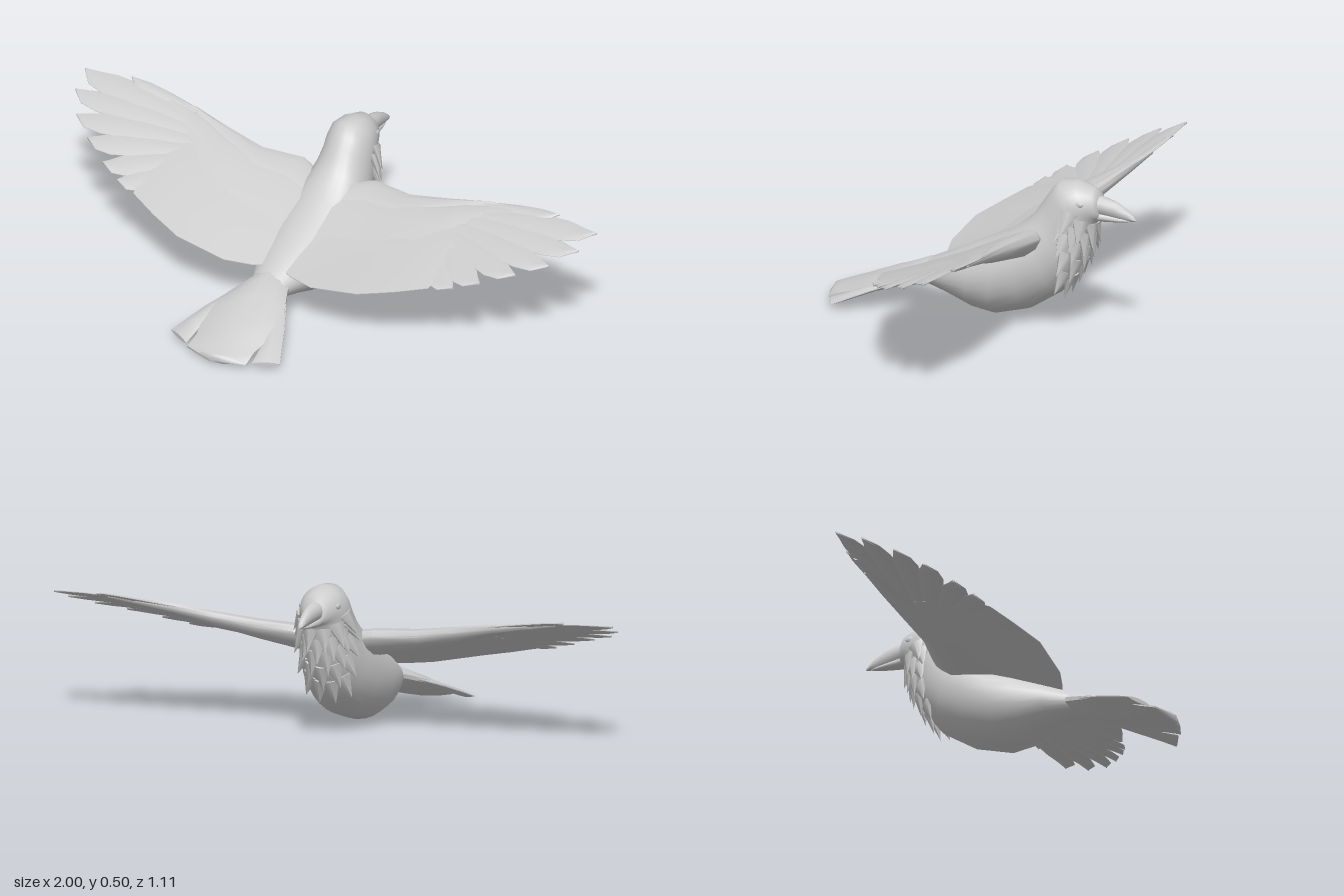
import * as THREE from 'three';
import { toCreasedNormals } from 'three/addons/utils/BufferGeometryUtils.js';

const plumage = new THREE.MeshStandardMaterial({ color: 0xcccccc, side: THREE.DoubleSide });
plumage.name = 'plainGrey';

const V = (x, y, z) => new THREE.Vector3(x, y, z);
const lerp = THREE.MathUtils.lerp;

// Piecewise-linear lookup in [[x, y], ...]
function along(table, x) {
  for (let i = 1; i < table.length; i++) {
    const [x0, y0] = table[i - 1], [x1, y1] = table[i];
    if (x <= x1 || i === table.length - 1) return lerp(y0, y1, Math.max(0, (x - x0) / (x1 - x0)));
  }
}

// Skin over closed rings of points, capped at both ends and wound outwards
function loft(name, rings, crease) {
  const n = rings[0].length, pts = rings.flat(), idx = [];
  for (let i = 0; i < rings.length - 1; i++)
    for (let j = 0; j < n; j++) {
      const a = i * n + j, b = i * n + (j + 1) % n;
      idx.push(a, b, a + n, b, b + n, a + n);
    }
  [0, rings.length - 1].forEach((r) => {
    const mid = rings[r].reduce((s, p) => s.add(p), V(0, 0, 0)).divideScalar(n);
    pts.push(mid);
    for (let j = 0; j < n; j++) {
      const a = r * n + j, b = r * n + (j + 1) % n;
      idx.push(pts.length - 1, r ? a : b, r ? b : a);
    }
  });
  let volume = 0;
  for (let i = 0; i < idx.length; i += 3)
    volume += pts[idx[i]].dot(V(0, 0, 0).crossVectors(pts[idx[i + 1]], pts[idx[i + 2]]));
  if (volume < 0) idx.reverse();
  let geo = new THREE.BufferGeometry().setFromPoints(pts);
  geo.setIndex(idx);
  if (crease) geo = toCreasedNormals(geo, crease);
  else geo.computeVertexNormals();
  const mesh = new THREE.Mesh(geo, plumage);
  mesh.name = name;
  return mesh;
}

// Thin feathered sheet; stations are [ax, az, bx, bz, thickness, lift]
const AIRFOIL = [[0, 0.1], [0.07, 0.65], [0.25, 1], [0.5, 0.8], [0.8, 0.4], [1, 0.08]];
const LENS = [[0, 0.15], [0.2, 0.7], [0.5, 1], [0.8, 0.7], [1, 0.15]];
function sheet(name, side, stations, height, profile) {
  const rings = stations.map(([ax, az, bx, bz, th, lift = 0]) => {
    const at = (s) => ([u, f]) => {
      const x = lerp(ax, bx, u), z = lerp(az, bz, u);
      return V(side * x, height(x, z) + lift + s * f * th, z);
    };
    return [...profile.map(at(1)), ...[...profile].reverse().map(at(-1))];
  });
  return loft(name, rings, 0.8);
}

// Single feather from base to tip, with its tip at the leading corner
function feather(name, side, base, tip, width, th, lift, height) {
  const dx = tip[0] - base[0], dz = tip[1] - base[1], len = Math.hypot(dx, dz);
  const nx = -dz / len, nz = dx / len;
  const spans = [[0, -0.35, 0.4], [0.45, -0.4, 0.6], [0.75, -0.3, 0.66], [0.9, -0.12, 0.5], [1, -0.03, 0.03]];
  return sheet(name, side, spans.map(([t, a, b]) => {
    const x = base[0] + dx * t, z = base[1] + dz * t;
    return [x + nx * a * width, z + nz * a * width, x + nx * b * width, z + nz * b * width, th * (1 - 0.5 * t), lift];
  }), height, LENS);
}

// Body profile: back point (z, y), belly point (z, y), half width
const BODY = [
  [0.27, 0.125, 0.27, 0.09, 0.04], [0.19, 0.175, 0.2, 0.08, 0.068], [0.1, 0.215, 0.12, 0.06, 0.105],
  [0, 0.265, 0.03, 0.026, 0.132], [-0.1, 0.31, -0.05, 0.013, 0.142], [-0.15, 0.35, -0.17, 0.045, 0.135],
  [-0.185, 0.38, -0.28, 0.115, 0.118], [-0.205, 0.41, -0.345, 0.2, 0.1], [-0.225, 0.44, -0.385, 0.29, 0.09],
  [-0.25, 0.475, -0.4, 0.35, 0.086], [-0.28, 0.505, -0.408, 0.375, 0.08], [-0.34, 0.508, -0.418, 0.382, 0.067],
  [-0.4, 0.489, -0.425, 0.386, 0.048], [-0.418, 0.465, -0.428, 0.39, 0.032],
];
function bodyPoint(r, angle) {
  const i = Math.min(Math.floor(r), BODY.length - 2);
  const [tz, ty, bz, by, w] = BODY[i].map((v, k) => lerp(v, BODY[i + 1][k], r - i));
  const c = Math.cos(angle);
  return V(w * Math.sin(angle), (ty + by) / 2 + c * (ty - by) / 2, (tz + bz) / 2 + c * (tz - bz) / 2);
}

function tube(name, rows) {
  return loft(name, rows.map(([z, top, bottom, w]) => Array.from({ length: 12 }, (_, j) => {
    const a = j / 12 * Math.PI * 2;
    return V(w * Math.sin(a), (top + bottom) / 2 + Math.cos(a) * (top - bottom) / 2, z);
  })), 0.9);
}

function buildBody() {
  const g = new THREE.Group();
  g.name = 'bodyAndHead';
  g.add(loft('body', BODY.map((_, i) =>
    Array.from({ length: 28 }, (_, j) => bodyPoint(i, j / 28 * Math.PI * 2)))));
  g.add(tube('upperBeak', [[-0.39, 0.466, 0.4, 0.036], [-0.43, 0.463, 0.398, 0.03], [-0.48, 0.45, 0.393, 0.021],
    [-0.52, 0.428, 0.39, 0.014], [-0.542, 0.41, 0.39, 0.009], [-0.555, 0.397, 0.392, 0.002]]));
  g.add(tube('lowerBeak', [[-0.39, 0.42, 0.378, 0.032], [-0.44, 0.41, 0.378, 0.025],
    [-0.5, 0.4, 0.383, 0.015], [-0.535, 0.395, 0.389, 0.004]]));
  for (const side of [-1, 1]) {
    const eye = new THREE.Mesh(new THREE.SphereGeometry(0.016, 12, 8), plumage);
    eye.name = 'eye';
    eye.scale.set(0.4, 0.7, 1.2);
    eye.position.set(side * 0.066, 0.444, -0.368);
    g.add(eye);
  }
  return g;
}

// Broad pointed throat feathers in staggered rows: [ring, count, spread]
function buildThroat() {
  const g = new THREE.Group();
  g.name = 'throatFeathers';
  const spike = new THREE.ConeGeometry(1, 1, 6).translate(0, 0.3, 0);
  const rows = [[9, 6, 1.4], [8.4, 7, 1.45], [7.8, 6, 1.2], [7.2, 5, 0.9], [6.6, 4, 0.6]];
  for (const [r, count, spread] of rows) {
    for (let k = 0; k < count; k++) {
      const a = Math.PI + lerp(-spread, spread, k / (count - 1));
      const p = bodyPoint(r, a);
      const down = bodyPoint(r - 0.5, a).sub(p).normalize();
      const across = bodyPoint(r, a + 0.05).sub(bodyPoint(r, a - 0.05)).normalize();
      const out = V(0, 0, 0).crossVectors(across, down).normalize();
      if (out.dot(p.clone().sub(bodyPoint(r, 0))) < 0) out.negate();
      const dir = down.addScaledVector(out, 0.42).normalize();
      const wide = V(0, 0, 0).crossVectors(dir, out).normalize();
      const m = new THREE.Mesh(spike, plumage);
      m.name = 'throatFeather';
      m.quaternion.setFromRotationMatrix(new THREE.Matrix4().makeBasis(wide, dir, V(0, 0, 0).crossVectors(wide, dir)));
      m.position.copy(p);
      m.scale.set(0.034, 0.085, 0.016);
      g.add(m);
    }
  }
  return g;
}

// Wing plane: rises towards the tip, falls towards the trailing edge
const LEAD = [[0, 0.325], [0.1, 0.33], [0.35, 0.35], [0.57, 0.38], [0.8, 0.403], [1, 0.41]];
const SLOPE = [[0, 0.36], [0.1, 0.35], [0.35, 0.295], [0.6, 0.315], [1, 0.31]];
const wingY = (x, z) => along(LEAD, x) - along(SLOPE, x) * (z + 0.25);

function buildWing(side) {
  const g = new THREE.Group();
  g.name = side > 0 ? 'leftWing' : 'rightWing';
  g.add(sheet('secondaryFeathers', side, [
    [0.03, -0.2, 0.03, 0.16, 0.018, -0.006], [0.08, -0.2, 0.075, 0.18, 0.018, -0.006],
    [0.18, -0.2, 0.17, 0.21, 0.016, -0.005], [0.33, -0.2, 0.35, 0.212, 0.014, -0.004],
    [0.42, -0.2, 0.47, 0.17, 0.013, -0.004], [0.5, -0.2, 0.575, 0.125, 0.011, -0.004],
    [0.54, -0.2, 0.59, 0.07, 0.006, -0.004]], wingY, AIRFOIL));
  g.add(sheet('middleCoverts', side, [
    [0.03, -0.23, 0.03, 0.055, 0.026], [0.12, -0.245, 0.12, 0.052, 0.025], [0.29, -0.228, 0.27, 0.035, 0.022],
    [0.42, -0.242, 0.41, 0, 0.019], [0.5, -0.255, 0.5, -0.09, 0.017], [0.6, -0.265, 0.6, -0.18, 0.013],
    [0.7, -0.268, 0.7, -0.225, 0.01], [0.8, -0.272, 0.79, -0.25, 0.005]], wingY, AIRFOIL));
  g.add(sheet('shoulderCoverts', side, [
    [0.03, -0.22, 0.03, -0.03, 0.045, -0.012], [0.14, -0.262, 0.14, -0.04, 0.043, -0.011],
    [0.29, -0.236, 0.27, -0.062, 0.034, -0.006], [0.43, -0.25, 0.43, -0.16, 0.025, -0.003],
    [0.57, -0.268, 0.56, -0.232, 0.016], [0.7, -0.275, 0.7, -0.262, 0.007]], wingY, AIRFOIL));
  // Fanned flight feathers, front to back
  const tips = [[0.835, -0.282], [0.998, -0.252], [0.982, -0.165], [0.922, -0.075],
    [0.835, -0.005], [0.735, 0.06], [0.655, 0.1]];
  tips.forEach((tip, i) => {
    const t = i / (tips.length - 1);
    const base = [lerp(0.56, 0.46, t), lerp(-0.25, -0.06, t)];
    g.add(feather('flightFeather', side, base, tip, i ? 0.092 : 0.045, 0.009, 0.005 - 0.0018 * i, wingY));
  });
  return g;
}

// Tail plane: slopes down to the rear and droops at the sides
const TAIL = [[0.12, 0.132], [0.2, 0.125], [0.3, 0.098], [0.4, 0.066], [0.47, 0.042], [0.52, 0.025], [0.56, 0.021]];
const tailY = (x, z) => along(TAIL, z) - 0.4 * x * x;

function buildTail() {
  const g = new THREE.Group();
  g.name = 'tail';
  g.add(sheet('tailFan', 1, [[0.13, 0.06, 0.04], [0.2, 0.074, 0.049], [0.28, 0.112, 0.038], [0.36, 0.145, 0.033],
    [0.425, 0.125, 0.028], [0.47, 0.112, 0.025], [0.525, 0.115, 0.02], [0.545, 0.06, 0.017], [0.555, 0.01, 0.012]]
    .map(([z, w, th]) => [-w, z, w, z, th]), tailY, LENS));
  for (const side of [-1, 1])
    g.add(sheet('outerTailFeather', side, [[0.04, 0.26, 0.1, 0.25, 0.012], [0.09, 0.36, 0.155, 0.35, 0.013],
      [0.12, 0.44, 0.188, 0.42, 0.012], [0.127, 0.512, 0.212, 0.47, 0.008]], tailY, LENS));
  return g;
}

export function createModel() {
  const bird = new THREE.Group();
  bird.name = 'flyingBird';
  bird.add(buildBody(), buildThroat(), buildWing(1), buildWing(-1), buildTail());
  return bird;
}
